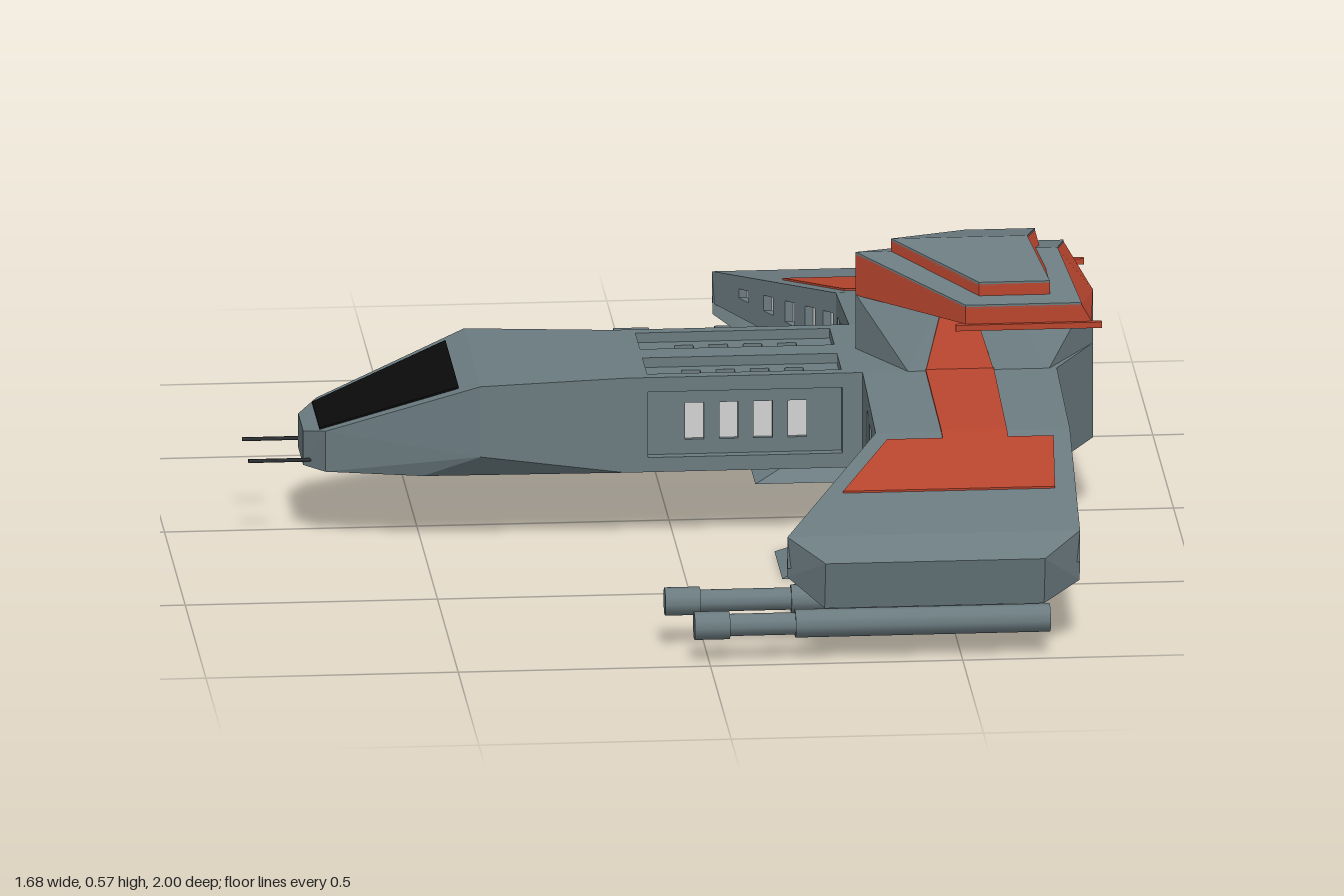
import * as THREE from 'three';
import { ConvexGeometry } from 'three/addons/geometries/ConvexGeometry.js';

const paint = (name, color) => {
  const m = new THREE.MeshStandardMaterial({ color });
  m.name = name;
  return m;
};

export function createModel() {
  const ship = new THREE.Group();
  ship.name = 'starship';
  const grey = paint('hullGrey', 0x6b7b80), red = paint('markingRed', 0xb8452e);
  const light = paint('windowLight', 0xd2d2d2), black = paint('canopyBlack', 0x0b0b0b);
  const dark = paint('probeDark', 0x2c3032);

  const add = (name, geo, mat, parent = ship) => {
    const m = new THREE.Mesh(geo, mat);
    m.name = name;
    parent.add(m);
    return m;
  };
  // faceted solid through a handful of corner points
  const hull = (name, pts, mat, parent) =>
    add(name, new ConvexGeometry(pts.map(p => new THREE.Vector3(...p))), mat, parent);
  // each point and its mirror image across z
  const both = pts => pts.flatMap(([x, y, z]) => (z ? [[x, y, z], [x, y, -z]] : [[x, y, z]]));
  // thin plate lying on top of a surface
  const plate = (name, pts, mat) =>
    hull(name, pts.flatMap(([x, y, z]) => [[x, y - 0.004, z], [x, y + 0.004, z]]), mat);
  const poly = pts => pts.map(p => new THREE.Vector2(...p));
  const rect = (x0, y0, x1, y1) => poly([[x0, y0], [x1, y0], [x1, y1], [x0, y1]]);
  const extrude = (outline, holes, depth) => {
    const s = new THREE.Shape(outline);
    s.holes = holes.map(h => new THREE.Path(h));
    return new THREE.ExtrudeGeometry(s, { depth, bevelEnabled: false });
  };

  // nose
  hull('nose', both([
    [-0.73, 0.15, 0.06], [-0.73, 0.22, 0.06], [-0.69, 0.15, 0.11], [-0.69, 0.235, 0.115],
    [-0.5, 0.15, 0.155], [-0.39, 0.345, 0.2], [-0.39, 0.2, 0.2],
    [-0.1, 0.345, 0.165], [-0.1, 0.15, 0.165]]), grey);
  const slope = x => 0.22 + (x + 0.73) * 0.3676;
  plate('canopy', both([[-0.7, slope(-0.7), 0.09], [-0.43, slope(-0.43), 0.16]]), black);
  for (const s of [1, -1]) {
    const probe = add('noseProbe', new THREE.CylinderGeometry(0.004, 0.004, 0.15, 6), dark);
    probe.rotation.z = Math.PI / 2;
    probe.position.set(-0.765, 0.165, s * 0.075);
  }

  // middle body: four skins with recessed window bays
  const bodySide = (angle, dist, halfH, bays) => {
    const g = new THREE.Group();
    g.name = 'bodySide';
    g.position.y = 0.2475;
    g.rotation.x = angle;
    ship.add(g);
    const skin = extrude(rect(-0.1, -halfH, 0.37, halfH),
      bays.map(b => rect(-0.055, b[0], 0.33, b[1])), 0.02);
    add('skin', skin, grey, g).position.z = dist - 0.02;
    for (const [y0, y1] of bays) {
      const pad = (y1 - y0) * 0.22;
      const slots = [0, 1, 2, 3].map(i =>
        rect(0.02 + i * 0.068, y0 + pad, 0.057 + i * 0.068, y1 - pad));
      const panel = extrude(rect(-0.06, y0 - 0.005, 0.335, y1 + 0.005), slots, 0.01);
      add('bayPanel', panel, grey, g).position.z = dist - 0.03;
      const glow = add('bayWindows', new THREE.BoxGeometry(0.3, y1 - y0 - pad, 0.006), light, g);
      glow.position.set(0.14, (y0 + y1) / 2, dist - 0.033);
    }
  };
  for (const a of [0, Math.PI]) bodySide(a, 0.165, 0.0975, [[-0.0675, 0.0675]]);
  for (const a of [-Math.PI / 2, Math.PI / 2])
    bodySide(a, 0.0975, 0.165, [[0.03, 0.14], [-0.14, -0.03]]);

  // rear body, ending in a vertical wedge
  hull('rearBody', both([0.15, 0.345].flatMap(y =>
    [[0.37, y, 0.165], [0.755, y, 0.165], [0.84, y, 0]])), grey);

  // tower
  hull('tower', both([
    [0.37, 0.345, 0], [0.46, 0.345, 0.165], [0.74, 0.345, 0.165], [0.84, 0.345, 0],
    [0.37, 0.457, 0], [0.52, 0.457, 0.11], [0.67, 0.457, 0.11], [0.84, 0.457, 0]]), grey);

  // bridge: two ridged red tiers with grey roofs
  const lower = [[0.37, 0.54, 0], [0.57, 0.49, 0.215], [0.8, 0.49, 0.215], [0.77, 0.54, 0]];
  const upper = [[0.44, 0.566, 0], [0.6, 0.526, 0.18], [0.74, 0.526, 0.18], [0.71, 0.566, 0]];
  hull('bridgeLower', both([...lower, [0.37, 0.455, 0], [0.57, 0.455, 0.215],
    [0.82, 0.455, 0.215], [0.84, 0.455, 0]]), red);
  hull('bridgeUpper', both([...upper, ...upper.map(([x, y, z]) => [x, y - 0.03, z])]), red);
  for (const s of [1, -1]) {
    for (const roof of [lower, upper])
      plate('bridgeRoof', roof.map(([x, y, z]) => [x, y, z * s]), grey);
    add('bridgeRail', new THREE.BoxGeometry(0.29, 0.012, 0.012), red)
      .position.set(0.695, 0.449, s * 0.217);
  }

  // wing sections along z: z, front x, rear x, top y, bottom y
  const stations = [
    [0.165, 0.37, 0.755, 0.345, 0.15],
    [0.48, 0.37, 0.755, 0.315, 0.16],
    [0.91, 0.16, 0.74, 0.235, 0.17]];
  const lerp = THREE.MathUtils.lerp;
  const topY = z => (z < 0.48 ? lerp(0.345, 0.315, (z - 0.165) / 0.315)
    : lerp(0.315, 0.235, (z - 0.48) / 0.43));
  const slotZ = [0.29, 0.355, 0.42, 0.507, 0.57, 0.64, 0.715, 0.8];
  const T = 0.02;

  // wing edge wall: flat extrusion sheared to follow the edge line
  const edgeWall = (name, a, b, s, rear, outline, holes, w0, depth, mat) => {
    const geo = extrude(outline, holes, depth), p = geo.attributes.position;
    const col = rear ? 2 : 1, dir = rear ? 1 : -1;
    for (let i = 0; i < p.count; i++) {
      const z = p.getX(i), x = lerp(a[col], b[col], (z - a[0]) / (b[0] - a[0]));
      p.setXYZ(i, x + dir * (p.getZ(i) + w0 - T), p.getY(i), s * z);
    }
    if (s * dir > 0) // reflected: restore the corner order
      for (let i = 0; i < p.count; i += 3) {
        const v = new THREE.Vector3().fromBufferAttribute(p, i + 1);
        p.setXYZ(i + 1, p.getX(i + 2), p.getY(i + 2), p.getZ(i + 2));
        p.setXYZ(i + 2, v.x, v.y, v.z);
      }
    geo.computeVertexNormals();
    add(name, geo, mat);
  };

  const gun = (x0, x1, y, z) => {
    const g = new THREE.Group();
    g.name = 'gun';
    g.position.set(0, y, z);
    ship.add(g);
    for (const [n, a, b, r] of [['muzzle', x0, x0 + 0.07, 0.028],
      ['barrel', x0 + 0.07, 0.17, 0.022], ['gunBody', 0.17, x1, 0.028]]) {
      const m = add(n, new THREE.CylinderGeometry(r, r, b - a, 10), grey, g);
      m.rotation.z = Math.PI / 2;
      m.position.x = (a + b) / 2;
    }
  };

  for (const s of [1, -1]) {
    for (let i = 0; i < 2; i++) {
      const a = stations[i], b = stations[i + 1];
      hull('wing', [a, b].flatMap(([z, f, r, t, u]) => [
        [f + T, t, s * z], [r - T, t, s * z], [f + T, u, s * z], [r - T, u, s * z]]), grey);
      const outline = d => poly([[a[0], a[4] + d], [b[0], b[4] + d], [b[0], b[3] - d], [a[0], a[3] - d]]);
      const holes = slotZ.filter(z => z > a[0] && z < b[0]).map(z => {
        const top = v => lerp(0.298, 0.228, (v - 0.29) / 0.51);
        const bot = v => lerp(0.197, 0.207, (v - 0.29) / 0.51);
        const l = z - 0.017, r = z + 0.017;
        return poly([[l, bot(l)], [r, bot(r)], [r, top(r)], [l, top(l)]]);
      });
      for (const rear of [true, false]) {
        edgeWall('wingEdge', a, b, s, rear, outline(0), holes, 0, T, grey);
        edgeWall('wingWindows', a, b, s, rear, outline(0.01), [], 0, 0.004, light);
      }
    }
    // drooping wing tip
    hull('wingTip', [
      [0.16, 0.235, 0.91], [0.74, 0.235, 0.91], [0.23, 0.2, 0.982], [0.665, 0.2, 0.982],
      [0.23, 0.1, 0.955], [0.665, 0.1, 0.955], [0.16, 0.15, 0.9], [0.74, 0.13, 0.9],
      [0.23, 0.1, 0.885], [0.665, 0.1, 0.885]].map(([x, y, z]) => [x, y, s * z]), grey);
    gun(-0.03, 0.675, 0.075, s * 0.97);
    gun(-0.08, 0.6, 0.095, s * 0.866);

    // red wing markings
    const mark = (name, z0, z1, f0, r0, f1, r1) => plate(name,
      [[f0, topY(z0), s * z0], [r0, topY(z0), s * z0], [f1, topY(z1), s * z1], [r1, topY(z1), s * z1]], red);
    mark('wingStripe', 0.165, 0.48, 0.495, 0.63, 0.5, 0.63);
    mark('wingStripe', 0.48, 0.515, 0.5, 0.63, 0.5, 0.63);
    mark('wingPanel', 0.515, 0.73, 0.39, 0.72, 0.285, 0.705);
    hull('towerStripe', [-0.004, 0.004].flatMap(d => [
      [0.495, 0.345, s * (0.165 + d)], [0.63, 0.345, s * (0.165 + d)],
      [0.53, 0.455, s * (0.111 + d)], [0.595, 0.455, s * (0.111 + d)]]), red);

    // landing gear
    const gear = (name, y0, x0, x1, z0, z1, y1, x2, x3, z2, z3) => hull(name, [
      ...[x0, x1].flatMap(x => [[x, y0, s * z0], [x, y0, s * z1]]),
      ...[x2, x3].flatMap(x => [[x, y1, s * z2], [x, y1, s * z3]])], grey);
    gear('gearPylon', 0.165, 0.38, 0.72, 0.17, 0.46, 0.095, 0.37, 0.68, 0.265, 0.38);
    gear('gearLeg', 0.097, 0.37, 0.67, 0.28, 0.37, 0.045, 0.29, 0.66, 0.28, 0.37);
    gear('gearFoot', 0.046, 0.29, 0.66, 0.28, 0.37, 0, 0.19, 0.675, 0.23, 0.42);
  }
  return ship;
}
